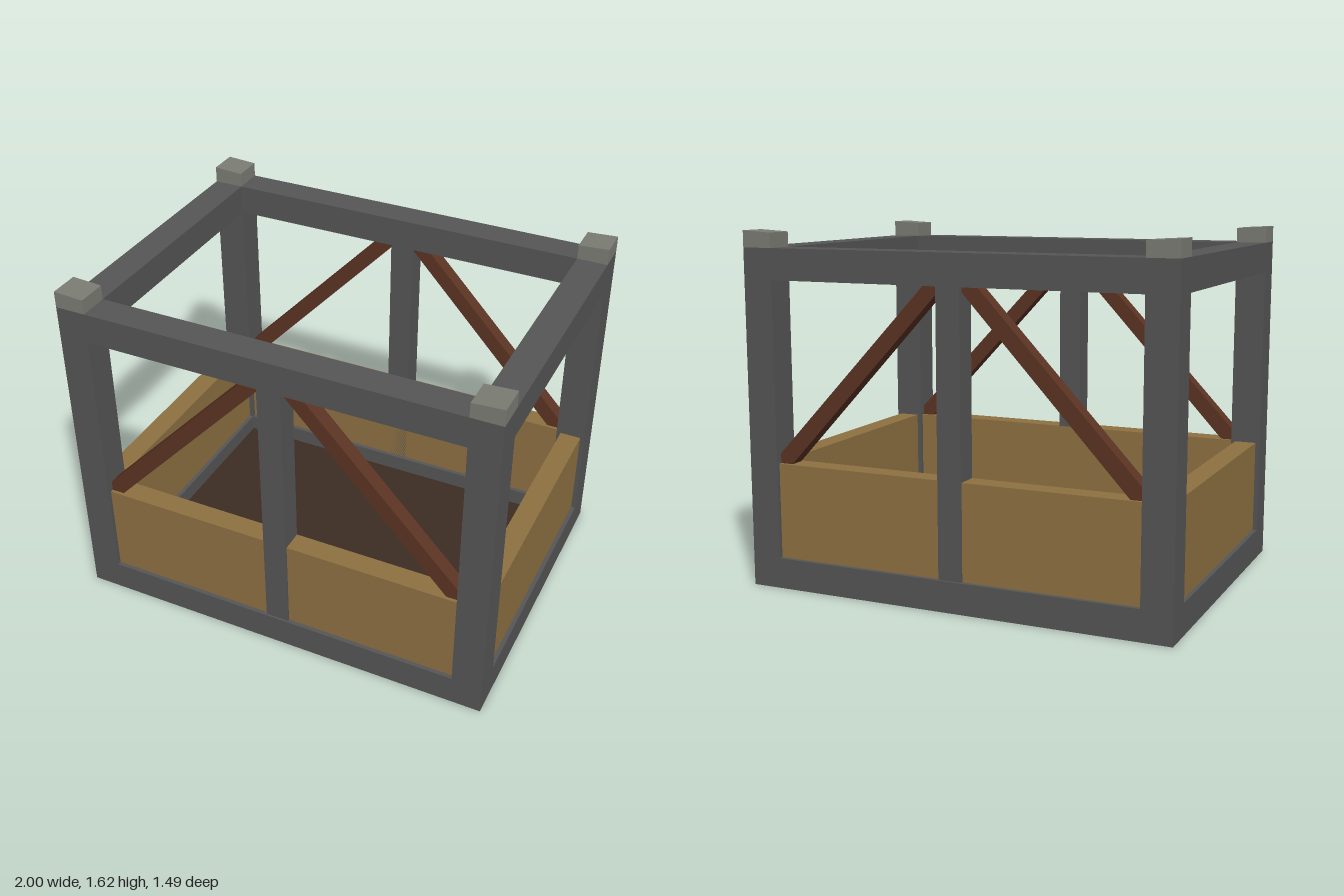
import * as THREE from 'three';

const mat = (name, color) => {
  const m = new THREE.MeshStandardMaterial({ color });
  m.name = name;
  return m;
};

export function createModel() {
  const steel = mat('dark grey frame', 0x565656);
  const capGrey = mat('light grey cap', 0x7b7d74);
  const plank = mat('tan wood', 0x8e7142);
  const braceWood = mat('red brown wood', 0x5c3423);
  const floorWood = mat('dark brown floor', 0x3c2c23);

  const root = new THREE.Group();
  root.name = 'openCrate';

  const X = 1, Z = 0.745, H = 1.54, T = 0.14; // outer half sizes, height, beam width
  const inX = X - T, inZ = Z - T;

  // Box given by its lower and upper corners
  const box = (name, material, a, b) => {
    const g = new THREE.BoxGeometry(b[0] - a[0], b[1] - a[1], b[2] - a[2]);
    g.translate((a[0] + b[0]) / 2, (a[1] + b[1]) / 2, (a[2] + b[2]) / 2);
    const mesh = new THREE.Mesh(g, material);
    mesh.name = name;
    root.add(mesh);
    return mesh;
  };

  // Floor set between the bottom rails
  box('floor', floorWood, [-inX, 0.01, -inZ], [inX, 0.06, inZ]);

  // Corner posts with slightly sloped caps
  for (const sx of [-1, 1]) for (const sz of [-1, 1]) {
    const x = sx * (X - T / 2), z = sz * (Z - T / 2), h = T / 2;
    box('cornerPost', steel, [x - h, 0, z - h], [x + h, H, z + h]);
    const cap = box('cornerCap', capGrey, [x - h, H, z - h], [x + h, 1.615, z + h]);
    const p = cap.geometry.attributes.position;
    for (let i = 0; i < p.count; i++) {
      if (p.getY(i) > 1.6 && Math.abs(p.getX(i)) < 0.9) p.setY(i, 1.607);
    }
    cap.geometry.computeVertexNormals();
  }

  // Bottom and top rails
  for (const [y0, y1] of [[0, T], [H - T, H]]) for (const s of [-1, 1]) {
    const z = s * (Z - T / 2), x = s * (X - T / 2), h = T / 2;
    box('longRail', steel, [-inX, y0, z - h], [inX, y1, z + h]);
    box('sideRail', steel, [x - h, y0, -inZ], [x + h, y1, inZ]);
  }

  // Low wall panels, set just behind the outer faces of the frame
  for (const s of [-1, 1]) {
    const z = s * (Z - 0.07), x = s * (X - 0.07), h = 0.05;
    box('longPanel', plank, [-inX, T, z - h], [inX, 0.575, z + h]);
    box('sidePanel', plank, [x - h, T, -inZ], [x + h, 0.575, inZ]);
  }

  // Middle posts on front and back
  for (const s of [-1, 1]) {
    const z = s * (Z - 0.065), h = 0.055;
    box('middlePost', steel, [-h, T, z - h], [h, H - T, z + h]);
  }

  // Diagonal braces, trimmed to fit between posts, rail and panel
  for (const sx of [-1, 1]) for (const sz of [-1, 1]) {
    const pts = [[0.86, 0.575], [0.86, 0.62], [0.125, 1.4], [0.055, 1.4], [0.055, 1.375], [0.8, 0.575]];
    const shape = new THREE.Shape(pts.map(([x, y]) => new THREE.Vector2(sx * x, y)));
    const g = new THREE.ExtrudeGeometry(shape, { depth: 0.07, bevelEnabled: false });
    g.translate(0, 0, sz * (Z - 0.07) - 0.035);
    const brace = new THREE.Mesh(g, braceWood);
    brace.name = 'diagonalBrace';
    root.add(brace);
  }

  return root;
}
